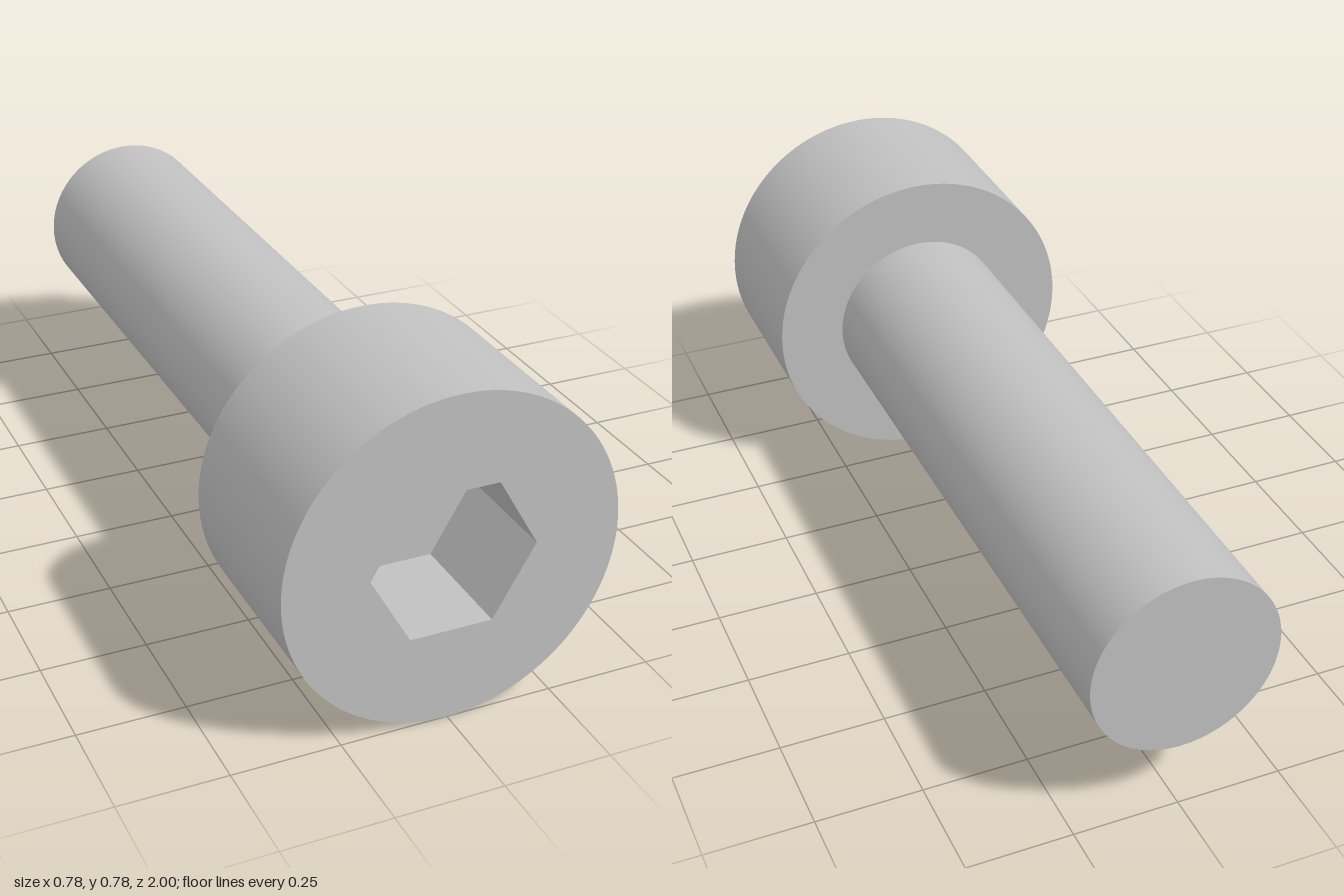
import * as THREE from 'three';

const HEAD_R = 0.389, SHAFT_R = 0.222, HEX_R = 0.1925;
const FRONT = 1, SHOULDER = 0.556, TAIL = -1, SOCKET_FLOOR = 0.722;
const SEGMENTS = 96;

// Open tube along z between two depths
function tube(radius, z0, z1, sides, thetaStart = 0) {
  return new THREE.CylinderGeometry(radius, radius, z1 - z0, sides, 1, true, thetaStart)
    .rotateX(Math.PI / 2)
    .translate(0, 0, (z0 + z1) / 2);
}

export function createModel() {
  const model = new THREE.Group();
  model.name = 'socketHeadBolt';
  const steel = new THREE.MeshStandardMaterial({ color: 0xc0c0c0 });
  steel.name = 'steel grey';

  const add = (name, geometry, parent) => {
    const mesh = new THREE.Mesh(geometry, steel);
    mesh.name = name;
    parent.add(mesh);
  };
  const group = (name) => {
    const g = new THREE.Group();
    g.name = name;
    g.position.y = HEAD_R;
    model.add(g);
    return g;
  };

  // Head: round wall, front face with hexagonal opening, annular shoulder
  const head = group('head');
  add('headWall', tube(HEAD_R, SHOULDER, FRONT, SEGMENTS), head);
  const face = new THREE.Shape().absarc(0, 0, HEAD_R, 0, Math.PI * 2);
  const corners = Array.from({ length: 6 }, (_, i) => {
    const a = (i * Math.PI) / 3;
    return new THREE.Vector2(HEX_R * Math.cos(a), HEX_R * Math.sin(a));
  });
  face.holes.push(new THREE.Path(corners));
  add('headFace', new THREE.ShapeGeometry(face, SEGMENTS).translate(0, 0, FRONT), head);
  add('headShoulder', new THREE.RingGeometry(SHAFT_R, HEAD_R, SEGMENTS)
    .rotateY(Math.PI).translate(0, 0, SHOULDER), head);

  // Hex socket: six flat walls mirrored to face inward, plus the floor
  const socket = group('hexSocket');
  const walls = tube(HEX_R, SOCKET_FLOOR, FRONT, 6, Math.PI / 6).scale(-1, 1, 1).toNonIndexed();
  walls.computeVertexNormals();
  add('socketWalls', walls, socket);
  add('socketFloor', new THREE.CircleGeometry(HEX_R, 6).translate(0, 0, SOCKET_FLOOR), socket);

  // Plain shaft with flat end
  const shaft = group('shaft');
  add('shaftWall', tube(SHAFT_R, TAIL, SHOULDER, SEGMENTS), shaft);
  add('shaftEnd', new THREE.CircleGeometry(SHAFT_R, SEGMENTS)
    .rotateY(Math.PI).translate(0, 0, TAIL), shaft);

  return model;
}
